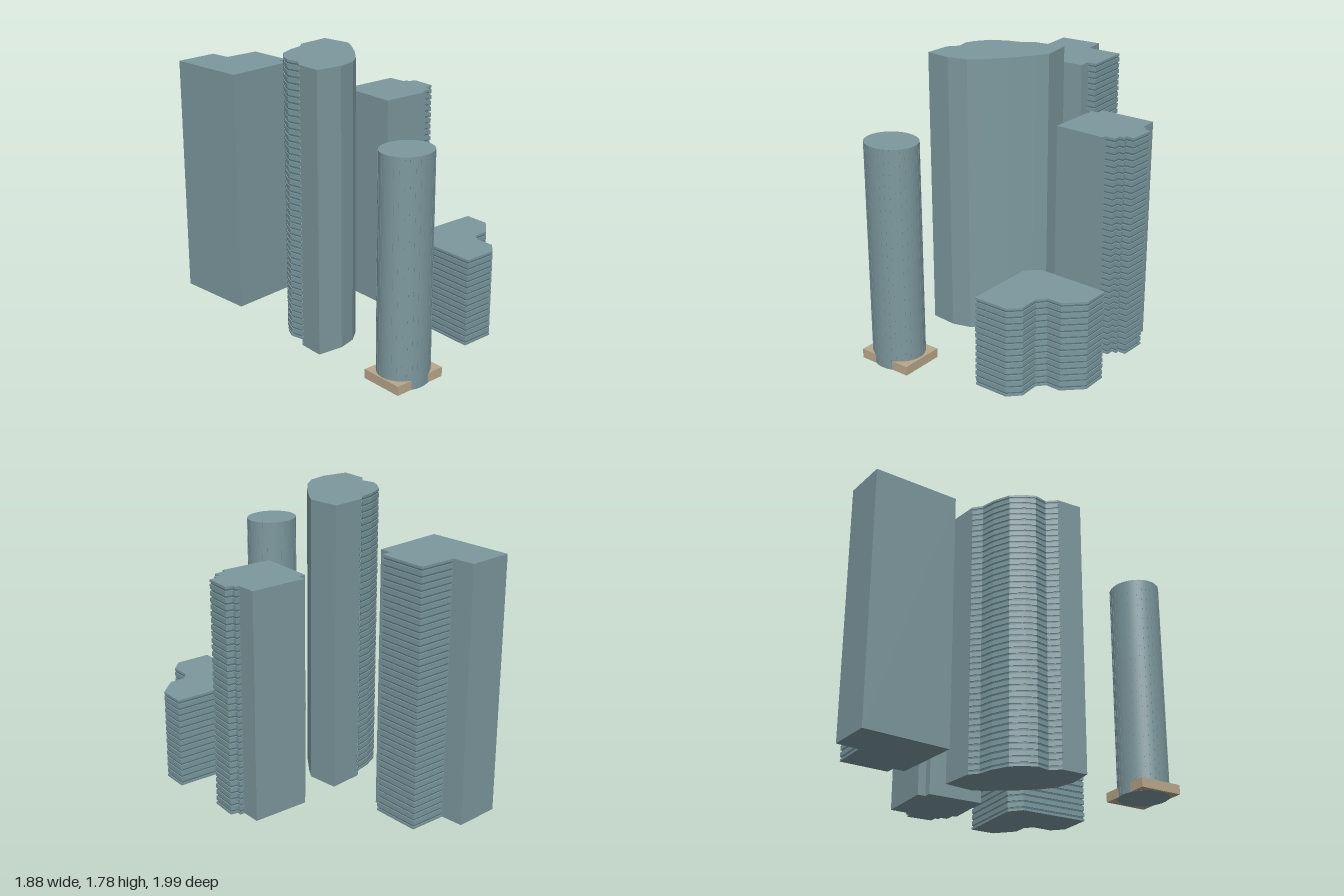
import * as THREE from 'three';

const wallMat = new THREE.MeshStandardMaterial({ color: 0x7d989e });
const grooveMat = new THREE.MeshStandardMaterial({ color: 0x527880 });
const baseMat = new THREE.MeshStandardMaterial({ color: 0xb9a78c });

const FLOOR = 0.04, DEPTH = 0.006;

// Non-indexed mesh made of flat quads
function quadMesh(quads, mat, name) {
  const pos = [];
  for (const [a, b, c, d] of quads) for (const p of [a, b, c, a, c, d]) pos.push(...p);
  const geo = new THREE.BufferGeometry();
  geo.setAttribute('position', new THREE.Float32BufferAttribute(pos, 3));
  geo.computeVertexNormals();
  const mesh = new THREE.Mesh(geo, mat);
  mesh.name = name;
  return mesh;
}

// Push the banded edges inward and intersect neighbouring edge lines
function insetOutline(pts, banded) {
  const n = pts.length;
  const lines = pts.map(([x, z], i) => {
    const [x2, z2] = pts[(i + 1) % n];
    const len = Math.hypot(x2 - x, z2 - z);
    const nx = (z2 - z) / len, nz = -(x2 - x) / len;
    return { nx, nz, c: nx * x + nz * z - (banded(i) ? DEPTH : 0) };
  });
  return pts.map((p, i) => {
    const a = lines[(i + n - 1) % n], b = lines[i];
    const det = a.nx * b.nz - a.nz * b.nx;
    if (Math.abs(det) < 0.05) return p;
    return [(a.c * b.nz - b.c * a.nz) / det, (a.nx * b.c - b.nx * a.c) / det];
  });
}

// Tower on a footprint of [x, z] points; edges first..last carry recessed floor bands
function tower(name, height, pts, first, last) {
  const group = new THREE.Group();
  group.name = name;
  const banded = i => i >= first && i <= last;
  const inner = insetOutline(pts, banded);
  const n = pts.length, floors = Math.round(height / FLOOR), step = height / floors;
  const walls = [], grooves = [];
  const at = ([x, z], y) => [x, y, z];
  const wall = (o, i, lo, hi) => {
    const a = o[i], b = o[(i + 1) % n];
    return [at(b, lo), at(a, lo), at(a, hi), at(b, hi)];
  };
  for (let i = 0; i < n; i++) {
    const j = (i + 1) % n;
    const touches = banded(i) || banded((i + n - 1) % n) || banded(j);
    if (!touches) { walls.push(wall(pts, i, 0, height)); continue; }
    for (let f = 0; f < floors; f++) {
      const y0 = f * step, y1 = y0 + 0.35 * step, y2 = y0 + 0.65 * step, y3 = y0 + step;
      walls.push(wall(pts, i, y0, y1), wall(pts, i, y2, y3));
      (banded(i) ? grooves : walls).push(wall(inner, i, y1, y2));
      if (!banded(i)) continue;
      // ledge below and soffit above the recess
      walls.push([at(inner[i], y1), at(inner[j], y1), at(pts[j], y1), at(pts[i], y1)]);
      walls.push([at(pts[i], y2), at(pts[j], y2), at(inner[j], y2), at(inner[i], y2)]);
    }
  }
  group.add(quadMesh(walls, wallMat, 'walls'));
  if (grooves.length) group.add(quadMesh(grooves, grooveMat, 'floorBands'));
  // roof and underside
  const shape = new THREE.Shape(pts.map(([x, z]) => new THREE.Vector2(x, -z)));
  const roof = new THREE.Mesh(new THREE.ShapeGeometry(shape).rotateX(-Math.PI / 2).translate(0, height, 0), wallMat);
  roof.name = 'roof';
  const flipped = new THREE.Shape(pts.map(([x, z]) => new THREE.Vector2(x, z)));
  const under = new THREE.Mesh(new THREE.ShapeGeometry(flipped).rotateX(Math.PI / 2), wallMat);
  under.name = 'underside';
  group.add(roof, under);
  return group;
}

// Oval tower with slim floor rings and mullions, standing through a low plinth
function ovalTower() {
  const group = new THREE.Group();
  group.name = 'ovalTower';
  const H = 1.415, body = new THREE.Group();
  body.name = 'ovalBody';
  const shaft = new THREE.Mesh(new THREE.CylinderGeometry(1, 1, H, 64).translate(0, H / 2, 0), wallMat);
  shaft.name = 'shaft';
  body.add(shaft);
  const rings = 35;
  for (let i = 1; i < rings; i++) {
    const ring = new THREE.Mesh(new THREE.CylinderGeometry(1.006, 1.006, 0.003, 64, 1, true), wallMat);
    ring.position.y = (i * H) / rings;
    ring.name = 'floorRing';
    body.add(ring);
  }
  for (let i = 0; i < 32; i++) {
    const a = (i / 32) * Math.PI * 2;
    const fin = new THREE.Mesh(new THREE.BoxGeometry(0.012, H - 0.002, 0.02), wallMat);
    fin.position.set(Math.sin(a), H / 2, Math.cos(a));
    fin.rotation.y = a;
    fin.name = 'mullion';
    body.add(fin);
  }
  body.scale.set(0.167, 1, 0.152);
  body.rotation.y = 0.49;
  body.position.set(0.135, 0, 0.788);
  group.add(body);

  const plinth = new THREE.Mesh(new THREE.BoxGeometry(0.358, 0.059, 0.282), baseMat);
  plinth.position.set(0.137, 0.0305, 0.785);
  plinth.rotation.y = 0.49;
  plinth.name = 'plinth';
  group.add(plinth);
  return group;
}

export function createModel() {
  const model = new THREE.Group();
  model.name = 'towerCluster';
  model.add(
    tower('notchedTower', 1.585, [
      [-0.65, -0.395], [-0.94, -0.85], [-0.70, -1.0], [-0.62, -0.885],
      [-0.415, -1.0], [-0.26, -0.74], [-0.31, -0.71], [-0.275, -0.645],
    ], 3, 5),
    tower('curvedTower', 1.785, [
      [-0.065, -0.41], [0.05, -0.25], [0.047, -0.16], [0.03, 0], [0, 0.15],
      [-0.04, 0.245], [-0.13, 0.33], [-0.285, 0.395], [-0.36, 0.245],
      [-0.345, 0.17], [-0.4, 0.105], [-0.407, 0.035], [-0.395, -0.06],
      [-0.33, -0.155], [-0.26, -0.22], [-0.24, -0.285],
    ], 8, 14),
    tower('steppedTower', 1.415, [
      [0.46, -0.745], [0.52, -0.64], [0.545, -0.655], [0.557, -0.63],
      [0.6, -0.645], [0.67, -0.495], [0.625, -0.47], [0.64, -0.45],
      [0.61, -0.435], [0.63, -0.395], [0.57, -0.36], [0.58, -0.335],
      [0.29, -0.19], [0.13, -0.505], [0.17, -0.53], [0.145, -0.575],
    ], 1, 9),
    tower('lowBlock', 0.575, [
      [0.86, -0.23], [0.935, -0.085], [0.885, 0.065], [0.8, 0.11],
      [0.785, 0.175], [0.845, 0.285], [0.815, 0.38], [0.62, 0.485],
      [0.415, 0.08], [0.45, -0.02],
    ], 0, 9),
    ovalTower(),
  );
  return model;
}
